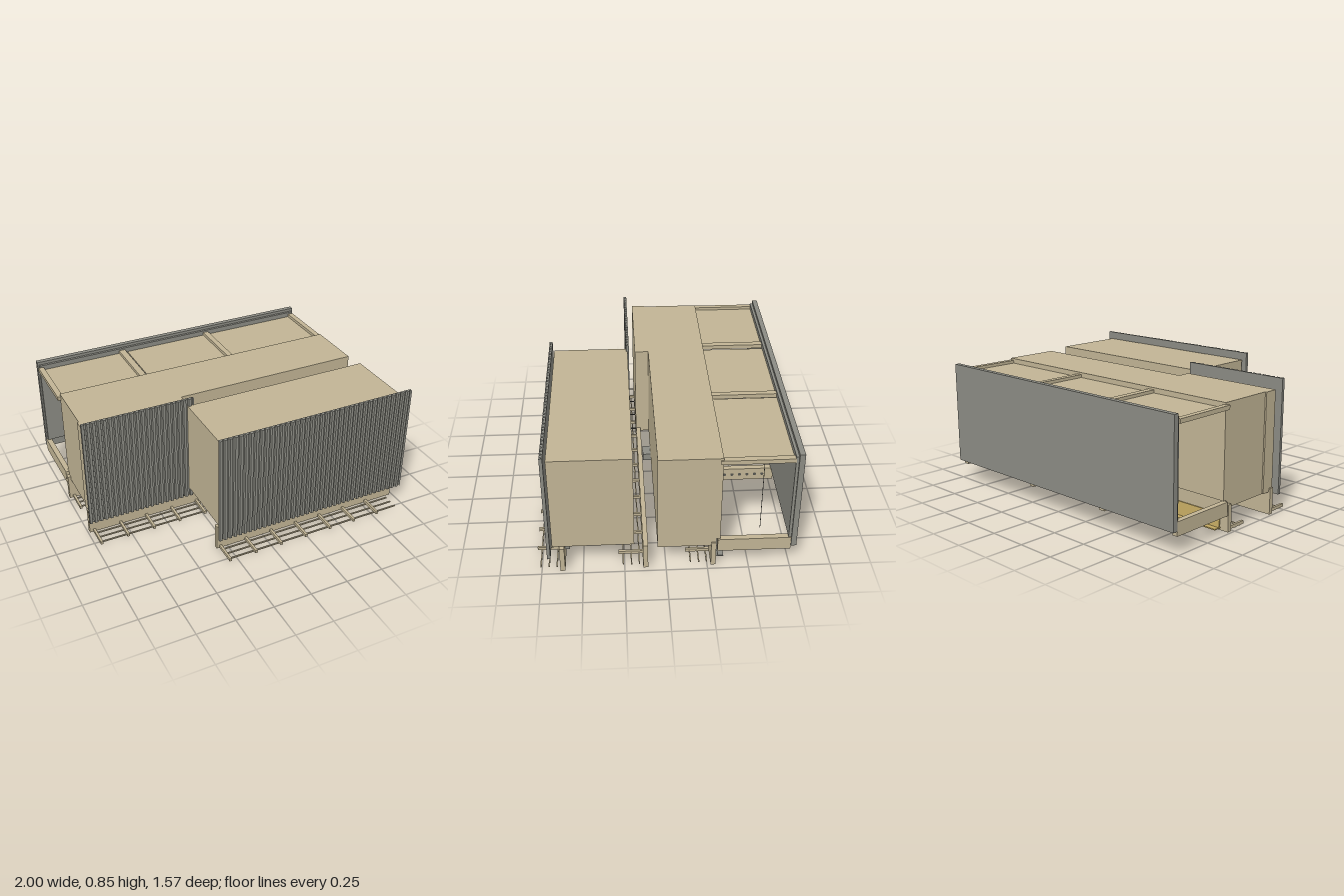
import * as THREE from 'three';

const mat = (name, color) => {
  const m = new THREE.MeshStandardMaterial({ color });
  m.name = name;
  return m;
};

export function createModel() {
  const model = new THREE.Group();
  const tan = mat('sand', 0xc2b595);
  const grey = mat('cladding grey', 0x8c8c84);
  const dark = mat('dark metal', 0x55554f);
  const blue = mat('blue', 0x7a80b8);
  const yellow = mat('yellow', 0xc4aa62);

  // Box given by its limits on each axis
  const box = (name, m, [x0, x1], [y0, y1], [z0, z1], parent = model) => {
    const mesh = new THREE.Mesh(new THREE.BoxGeometry(x1 - x0, y1 - y0, z1 - z0), m);
    mesh.position.set((x0 + x1) / 2, (y0 + y1) / 2, (z0 + z1) / 2);
    mesh.name = name;
    parent.add(mesh);
    return mesh;
  };
  const group = (name) => {
    const g = new THREE.Group();
    g.name = name;
    model.add(g);
    return g;
  };

  // Vertical ribbed cladding: trapezoid profile extruded upward
  const ribbedPanel = (name, x0, x1, y0, y1, z0, z1) => {
    const count = Math.round((x1 - x0) / 0.034);
    const step = (x1 - x0) / count;
    const low = z0 + (z1 - z0) * 0.35;
    const shape = new THREE.Shape();
    shape.moveTo(x0, -z0);
    for (let i = 0; i < count; i++) {
      const x = x0 + i * step;
      shape.lineTo(x, -z1);
      shape.lineTo(x + step * 0.5, -z1);
      shape.lineTo(x + step * 0.62, -low);
      shape.lineTo(x + step * 0.88, -low);
    }
    shape.lineTo(x1, -z1);
    shape.lineTo(x1, -z0);
    const geo = new THREE.ExtrudeGeometry(shape, { depth: y1 - y0, bevelEnabled: false });
    geo.rotateX(-Math.PI / 2);
    const mesh = new THREE.Mesh(geo, grey);
    mesh.position.y = y0;
    mesh.name = name;
    model.add(mesh);
  };

  // Main volumes
  box('frontBlock', tan, [-0.31, 0.96], [0.18, 0.805], [0.19, 0.68]);
  box('middleBlock', tan, [-0.97, 0.96], [0.15, 0.79], [-0.302, 0.05]);
  box('middleBlockExtension', tan, [-0.98, -0.29], [0.15, 0.79], [0.05, 0.14]);
  box('middleRearWall', tan, [-0.97, 0.96], [0.2, 0.79], [-0.325, -0.302]);
  ribbedPanel('frontCladding', -0.34, 1, 0.12, 0.855, 0.69, 0.71);
  ribbedPanel('sideCladding', -1, -0.27, 0.12, 0.855, 0.18, 0.2);

  // Rear cladding wall
  box('rearCladding', grey, [-0.99, 0.975], [0.14, 0.81], [-0.785, -0.752]);
  box('rearCladdingLining', grey, [-0.98, 0.965], [0.2, 0.79], [-0.752, -0.735]);

  // Rear bays: thin roofs over open bottoms
  const bays = [[-0.955, -0.41], [-0.353, 0.232], [0.28, 0.932]];
  bays.forEach((x) => box('bayRoof', tan, x, [0.75, 0.757], [-0.737, -0.325]));

  // Beams between the middle block and the rear wall
  const beams = [[-0.99, -0.955], [-0.415, -0.372], [0.23, 0.268], [0.93, 0.967]];
  beams.forEach((x, i) => {
    box('upperBeam', tan, x, [0.75, 0.777], [-0.737, -0.31]);
    box('lowerBeam', tan, x, [0.11, 0.197], [-0.752, -0.31]);
    if (i === 3) return;
    for (let k = 0; k < 7; k++) {
      const hole = new THREE.Mesh(new THREE.CircleGeometry(0.011, 10), dark);
      hole.rotation.y = Math.PI / 2;
      hole.position.set(x[1] + 0.001, 0.153, -0.38 - k * 0.05);
      hole.name = 'beamHole';
      model.add(hole);
    }
  });
  box('hangingCable', dark, [0.948, 0.951], [0.27, 0.752], [-0.5615, -0.5585]);

  // Coloured boards with ledges below the bays
  [yellow, blue, grey].forEach((m, i) => {
    const x = [bays[i][0] + 0.02, bays[i][1] - 0.02];
    const board = box('bayBoard', m, x, [0.02, 0.11], [-0.316, -0.308]);
    board.rotation.x = 0.1;
    box('bayBoardLedge', m, x, [0.018, 0.025], [-0.355, -0.3]);
  });

  // Foundation kerbs, each with a rack of sleepers and rails in front
  const footing = (name, x0, x1, z, first, count, pins) => {
    const g = group(name);
    box('kerb', tan, [x0, x1], [0.005, 0.175], [z - 0.03, z], g);
    for (let i = 0; i < count; i++) {
      const x = first + i * 0.18;
      box('sleeper', tan, [x - 0.008, x + 0.008], [0.006, 0.026], [z, z + 0.147], g);
      if (pins && x + 0.07 < pins) {
        box('claddingPin', dark, [x + 0.067, x + 0.073], [0.126, 0.132], [z, z + 0.052], g);
      }
    }
    for (const dz of [0.022, 0.07, 0.12]) {
      box('rail', tan, [first - 0.005, 0.94], [0.001, 0.009], [z + dz - 0.004, z + dz + 0.004], g);
    }
  };
  footing('frontFooting', -0.325, 0.98, 0.638, -0.3, 7, 1);
  footing('middleFooting', -0.99, 0.975, 0.138, -0.96, 11, -0.28);
  footing('rearFooting', -0.99, 0.97, -0.272, -0.96, 11, 0);

  // Equipment boxes hung on the kerbs
  [[-0.17, -0.07, 0.578], [0.79, 0.89, 0.578], [-0.1, 0, 0.038]].forEach(([x0, x1, z]) =>
    box('equipmentBox', grey, [x0, x1], [0.098, 0.147], [z, z + 0.064]));

  // Slatted grilles below the blocks
  for (const [z, x] of [[0.42, 0.33], [-0.11, 0]]) {
    const g = group('grille');
    [[0.124, 0.11], [0.134, 0.118], [0.144, 0.125]].forEach(([y, half]) =>
      box('grilleFrame', dark, [x - half, x + half], [y - 0.003, y + 0.003], [z - half, z + half], g));
    box('grilleNeck', dark, [x - 0.09, x + 0.09], [0.124, 0.182 - (z < 0 ? 0.03 : 0)], [z - 0.09, z + 0.09], g);
    for (let i = -4; i <= 4; i++) {
      const c = z + i * 0.024;
      box('grilleSlat', dark, [x - 0.1, x + 0.1], [0.117, 0.121], [c - 0.005, c + 0.005], g);
    }
  }

  return model;
}
